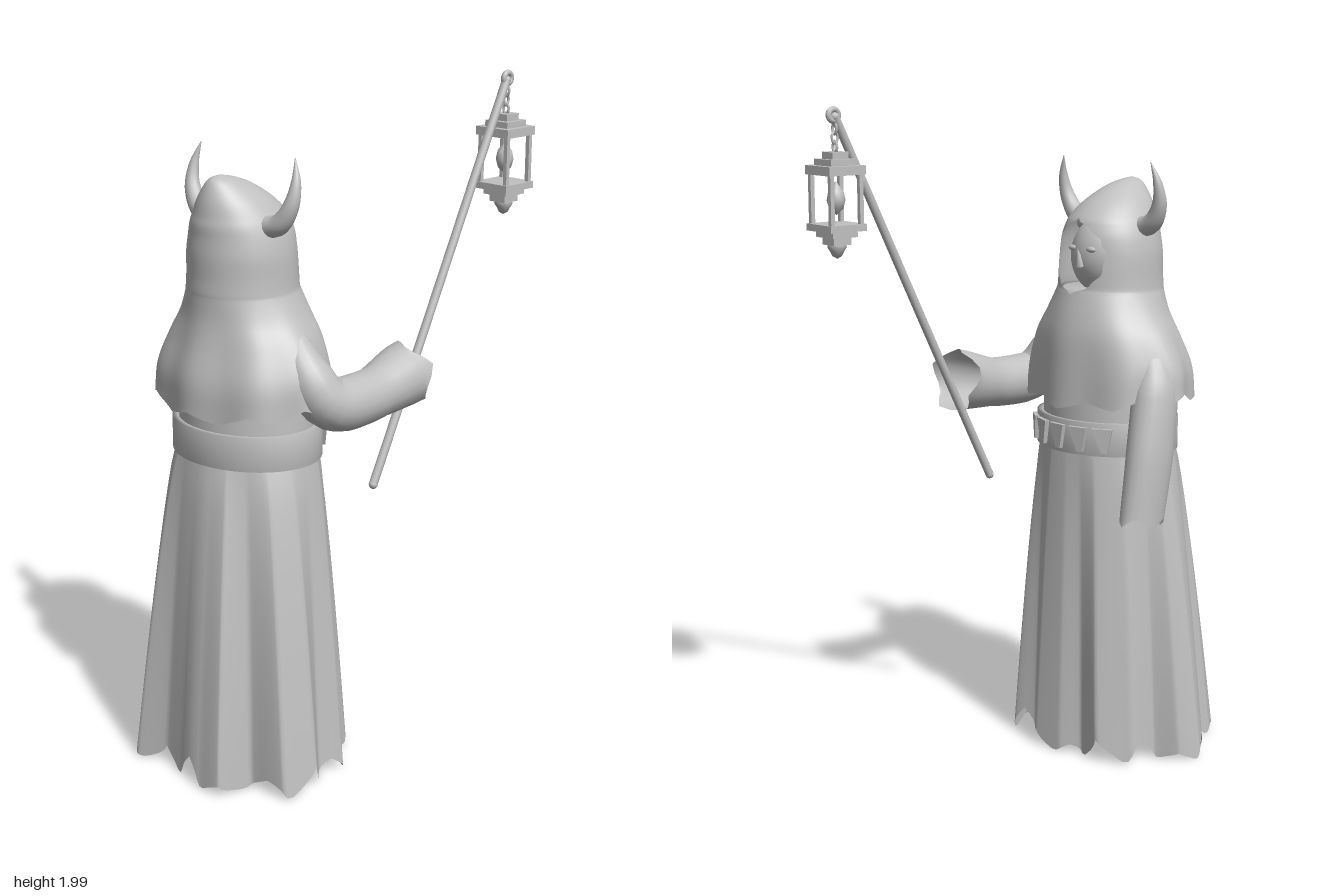
import * as THREE from 'three';
import { mergeVertices } from 'three/addons/utils/BufferGeometryUtils.js';
import { ParametricGeometry } from 'three/addons/geometries/ParametricGeometry.js';

const grey = new THREE.MeshStandardMaterial({ color: 0xc0c0c0, side: THREE.DoubleSide });
grey.name = 'plain grey';

function add(parent, name, geometry, x = 0, y = 0, z = 0) {
  const mesh = new THREE.Mesh(geometry, grey);
  mesh.name = name;
  mesh.position.set(x, y, z);
  parent.add(mesh);
  return mesh;
}

// Weld seams so that the normals run smoothly around
function smooth(geometry) {
  geometry.deleteAttribute('normal');
  geometry.deleteAttribute('uv');
  const welded = mergeVertices(geometry, 1e-4);
  welded.computeVertexNormals();
  return welded;
}

const zigzag = (t) => Math.abs((((t % 1) + 1) % 1) * 2 - 1);

// Tube with a radius that changes along its path, an optional torn end and a widening in z
function taperedTube(points, radii, { torn = 0, widen = 0, steps = 24, sides = 20 } = {}) {
  const curve = new THREE.CatmullRomCurve3(points.map((p) => new THREE.Vector3(...p)));
  const geometry = new THREE.TubeGeometry(curve, steps, 1, sides, false);
  const pos = geometry.attributes.position;
  const v = new THREE.Vector3();
  for (let i = 0; i <= steps; i++) {
    const u = i / steps;
    const centre = curve.getPointAt(u);
    const tangent = curve.getTangentAt(u);
    const f = u * (radii.length - 1);
    const k = Math.min(Math.floor(f), radii.length - 2);
    const r = THREE.MathUtils.lerp(radii[k], radii[k + 1], f - k);
    for (let j = 0; j <= sides; j++) {
      const n = i * (sides + 1) + j;
      v.fromBufferAttribute(pos, n).sub(centre).multiplyScalar(r);
      v.z *= 1 + widen * u;
      v.add(centre);
      if (i === steps) v.addScaledVector(tangent, torn * (zigzag(j / 5) - 0.5));
      pos.setXYZ(n, v.x, v.y, v.z);
    }
  }
  return smooth(geometry);
}

// Folded skirt: an oval waist blending into a sharply pleated, torn hem
function skirt() {
  const hem = [
    [0.06, 0.05], [0.12, 0.1], [0.2, 0.08], [0.24, 0.17], [0.31, 0.2], [0.3, 0.29], [0.367, 0.365],
    [0.34, 0.468], [0.21, 0.48], [0.192, 0.59], [0.1, 0.592], [0.02, 0.58], [-0.08, 0.555],
    [-0.18, 0.59], [-0.23, 0.53], [-0.225, 0.46], [-0.31, 0.42], [-0.37, 0.35], [-0.34, 0.29],
    [-0.27, 0.25], [-0.27, 0.16], [-0.19, 0.08], [-0.1, 0.1], [-0.04, 0.06],
  ].map(([x, z]) => new THREE.Vector3(x, 0, z));
  const curve = new THREE.CatmullRomCurve3(hem, true, 'catmullrom', 0.15);
  const p = new THREE.Vector3();
  return smooth(new ParametricGeometry((u, v, out) => {
    curve.getPoint(u % 1, p);
    const a = Math.atan2(p.x / 0.36, (p.z - 0.31) / 0.27);
    const f = Math.pow(v, 0.75);
    const torn = (0.055 + 0.03 * Math.sin(u * Math.PI * 10)) * zigzag(u * 16) + 0.005;
    out.set(
      THREE.MathUtils.lerp(0.225 * Math.sin(a), p.x, f),
      THREE.MathUtils.lerp(0.98, torn, v),
      THREE.MathUtils.lerp(0.29 + 0.19 * Math.cos(a), p.z, f),
    );
  }, 144, 14));
}

// Hood and mantle in one sheet, with an arched opening for the face
function hood() {
  // y, half width, centre z, half depth, half angle of the opening
  const rows = [
    [1.1, 0.295, 0.3, 0.21, 0], [1.2, 0.285, 0.3, 0.205, 0], [1.3, 0.245, 0.29, 0.188, 0],
    [1.37, 0.2, 0.29, 0.174, 0], [1.43, 0.17, 0.297, 0.163, 0], [1.45, 0.164, 0.3, 0.16, 0.3],
    [1.49, 0.161, 0.3, 0.158, 0.6], [1.55, 0.158, 0.302, 0.156, 0.72], [1.6, 0.149, 0.302, 0.152, 0.6],
    [1.635, 0.137, 0.306, 0.147, 0.3], [1.66, 0.124, 0.31, 0.138, 0], [1.7, 0.096, 0.327, 0.114, 0],
    [1.74, 0.057, 0.352, 0.076, 0], [1.762, 0.028, 0.373, 0.04, 0], [1.772, 0, 0.385, 0, 0],
  ];
  const last = rows.length - 1;
  const table = new THREE.CubicInterpolant(rows.map((_, i) => i), rows.flat(), 5);
  return smooth(new ParametricGeometry((u, v, out) => {
    const [y, rx, cz, rz, open] = table.evaluate(v * last);
    const ragged = open > 0.05 ? open + 0.03 * Math.sin(v * 90) : 0;
    const a = THREE.MathUtils.lerp(ragged, 2 * Math.PI - ragged, u);
    const low = Math.max(0, 1 - v * last / 4);
    const fold = 1 + 0.035 * low * Math.cos(a * 8);
    const drop = low * low * (0.03 * Math.sin(a) ** 2 - 0.025 * (zigzag(u * 9) - 0.5));
    out.set(rx * fold * Math.sin(a), y + drop, cz - rz * fold * Math.cos(a));
  }, 72, 56));
}

// Upright oval band from a profile of [radius, y]
function ovalBand(parent, name, profile, rx, rz) {
  const geometry = new THREE.LatheGeometry(profile.map(([r, y]) => new THREE.Vector2(r, y)), 48);
  geometry.scale(rx, 1, rz);
  return add(parent, name, geometry, 0, 0, 0.29);
}

function belt(parent) {
  const group = new THREE.Group();
  group.name = 'belt';
  parent.add(group);
  ovalBand(group, 'beltBand', [[0.92, 0.955], [1, 0.955], [1, 1.055], [0.92, 1.055]], 0.24, 0.197);
  // Row of teeth across the front
  const tooth = new THREE.Shape([[-0.034, 0.036], [0.03, 0.036], [0.016, -0.038], [-0.002, -0.038]]
    .map(([x, y]) => new THREE.Vector2(x, y)));
  const geometry = new THREE.ExtrudeGeometry(tooth, { depth: 0.014, bevelEnabled: false });
  for (let i = -2; i <= 2; i++) {
    const a = i * 0.34;
    const plate = add(group, 'beltTooth', geometry, 0.238 * Math.sin(a), 1.005, 0.29 - 0.195 * Math.cos(a));
    plate.rotation.y = Math.PI - a * 0.85;
  }
}

function lantern() {
  const group = new THREE.Group();
  group.name = 'lantern';
  const slab = (name, half, bottom, top) =>
    add(group, name, new THREE.BoxGeometry(half * 2, top - bottom, half * 2), 0, (top + bottom) / 2, 0);
  slab('roofCap', 0.027, 1.85, 1.872);
  slab('roofTier', 0.043, 1.832, 1.852);
  slab('roofPlate', 0.062, 1.808, 1.834);
  slab('basePlate', 0.062, 1.648, 1.668);
  slab('baseTier', 0.043, 1.63, 1.648);
  slab('baseFoot', 0.03, 1.608, 1.63);
  for (const x of [-1, 1]) for (const z of [-1, 1]) {
    add(group, 'cornerPost', new THREE.BoxGeometry(0.013, 0.15, 0.013), x * 0.05, 1.738, z * 0.05);
  }
  const turned = (name, profile) =>
    add(group, name, new THREE.LatheGeometry(profile.map((p) => new THREE.Vector2(...p)), 12));
  turned('flame', [[0, 1.692], [0.02, 1.71], [0.027, 1.735], [0.022, 1.76], [0, 1.79]]);
  turned('finial', [[0, 1.567], [0.014, 1.575], [0.02, 1.588], [0.028, 1.6], [0.026, 1.61]]);
  // Hanging links
  [1.885, 1.912, 1.938].forEach((y, i) => {
    const link = add(group, 'chainLink', new THREE.TorusGeometry(0.01, 0.004, 6, 14), 0, y, 0);
    link.scale.y = 1.5;
    link.rotation.y = (i % 2) * Math.PI / 2;
  });
  return group;
}

export function createModel() {
  const model = new THREE.Group();
  model.name = 'hoodedLanternBearer';

  // Robe
  add(model, 'skirt', skirt());
  ovalBand(model, 'torso', [[1, 0.95], [1, 1.15], [0.9, 1.3], [0.78, 1.41], [0.7, 1.44], [0, 1.45]], 0.215, 0.18);
  belt(model);
  add(model, 'hoodAndMantle', hood());
  add(model, 'raisedSleeve', taperedTube(
    [[0.18, 1.33, 0.285], [0.245, 1.23, 0.285], [0.283, 1.145, 0.24], [0.283, 1.13, 0.1], [0.265, 1.16, -0.095]],
    [0.04, 0.07, 0.078, 0.076, 0.095], { torn: 0.05 }));
  add(model, 'hangingSleeve', taperedTube(
    [[-0.17, 1.33, 0.28], [-0.23, 1.2, 0.27], [-0.26, 1.0, 0.23], [-0.267, 0.77, 0.19]],
    [0.04, 0.064, 0.06, 0.052], { torn: 0.03, widen: 0.5 }));

  // Face in the shadow of the hood
  const head = add(model, 'head', new THREE.SphereGeometry(0.105, 28, 20), 0, 1.54, 0.272);
  head.scale.set(0.98, 1.15, 0.95);
  const nose = add(model, 'nose', new THREE.ConeGeometry(0.016, 0.055, 8), 0, 1.54, 0.172);
  nose.rotation.x = -0.25;
  for (const side of [-1, 1]) {
    const eye = add(model, 'eye', new THREE.SphereGeometry(0.016, 12, 8), side * 0.04, 1.565, 0.183);
    eye.scale.set(1.2, 0.55, 0.6);
    add(model, 'horn', taperedTube(
      [[0.105, 1.63, 0.315], [0.165, 1.645, 0.312], [0.205, 1.7, 0.305], [0.212, 1.765, 0.292], [0.195, 1.83, 0.278]]
        .map(([x, y, z]) => [side * x, y, z]),
      [0.032, 0.03, 0.023, 0.014, 0.001], { steps: 20, sides: 14 }));
  }

  // Staff with a hooked tip and the lantern
  add(model, 'staff', taperedTube(
    [[0.26, 0.845, 0.03], [0.253, 1.4, -0.25], [0.246, 1.97, -0.535]], [0.013, 0.013], { steps: 8, sides: 10 }));
  const ends = [[0.26, 0.845, 0.03], [0.246, 1.97, -0.535]];
  for (const end of ends) add(model, 'staffEnd', new THREE.SphereGeometry(0.0135, 10, 8), ...end);
  const hook = add(model, 'staffHook', new THREE.TorusGeometry(0.016, 0.009, 8, 18), 0.246, 1.975, -0.54);
  hook.rotation.y = Math.PI / 2;
  const lamp = lantern();
  lamp.position.set(0.247, 0, -0.536);
  model.add(lamp);
  return model;
}
